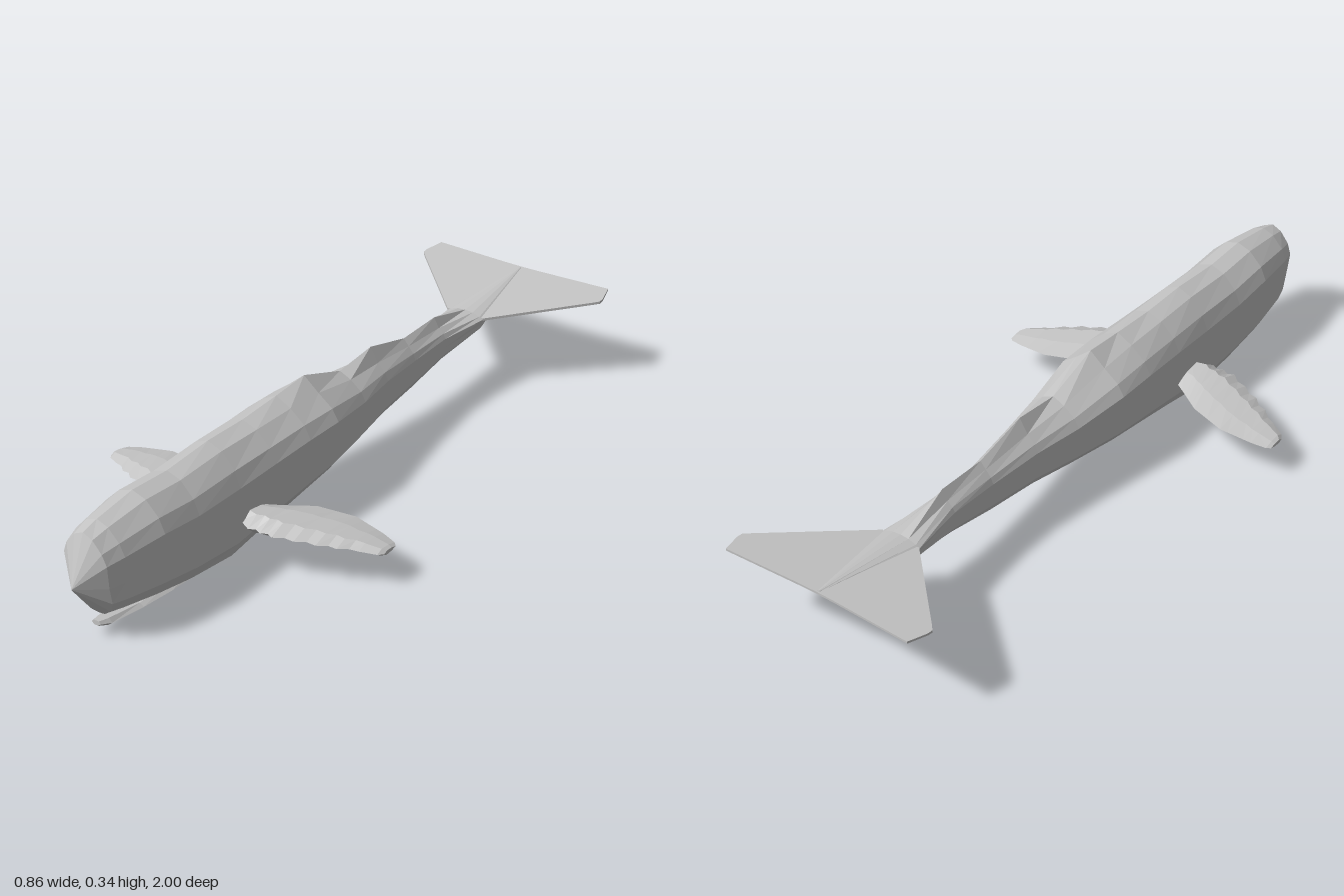
import * as THREE from 'three';

const skin = new THREE.MeshStandardMaterial({ color: 0xc4c4c4, flatShading: true });
skin.name = 'grey skin';

// Skins a list of closed rings; each end is closed by a fan to a given or averaged point
function loft(rings, { flip = false, startPoint, endPoint } = {}) {
  const pos = [];
  const tri = (a, b, c) => pos.push(...a, ...(flip ? c : b), ...(flip ? b : c));
  const middle = (r) => [0, 1, 2].map((k) => r.reduce((s, p) => s + p[k], 0) / r.length);
  const n = rings[0].length;
  const first = rings[0], last = rings[rings.length - 1];
  const c0 = startPoint || middle(first), c1 = endPoint || middle(last);
  for (let j = 0; j < n; j++) {
    const k = (j + 1) % n;
    tri(c0, first[k], first[j]);
    for (let i = 0; i < rings.length - 1; i++) {
      const p = rings[i], q = rings[i + 1];
      tri(p[j], p[k], q[j]);
      tri(p[k], q[k], q[j]);
    }
    tri(c1, last[j], last[k]);
  }
  const g = new THREE.BufferGeometry();
  g.setAttribute('position', new THREE.Float32BufferAttribute(pos, 3));
  g.computeVertexNormals();
  return g;
}

function part(name, geometry) {
  const m = new THREE.Mesh(geometry, skin);
  m.name = name;
  return m;
}

// Half outline of the body as fractions of half width and height
const HALF = [[0, 1], [0.42, 0.96], [0.82, 0.83], [1, 0.7], [0.94, 0.42], [0.91, 0.22], [0.68, 0.09], [0.3, 0.01], [0, 0]];

// Ring across the body; ridge lifts only the top centre point, shear pulls the underside back
function bodyRing([z, w, top, bottom, ridge = 0, shear = 0]) {
  const half = HALF.map(([fx, fy], i) => [
    fx * w, bottom + fy * (top - bottom) + (i === 0 ? ridge : 0), z - shear * (1 - fy) ** 2]);
  const mirrored = half.slice(1, -1).reverse().map(([x, y, zz]) => [-x, y, zz]);
  return [...half, ...mirrored];
}

function body() {
  // z, half width, top, bottom, ridge, shear
  const sections = [
    [0.95, 0.065, 0.303, 0.068, 0.003, 0.04],
    [0.90, 0.079, 0.316, 0.062, 0.002, 0.03],
    [0.77, 0.096, 0.333, 0.045, 0.002],
    [0.64, 0.097, 0.326, 0.022, 0.002],
    [0.48, 0.098, 0.334, 0.005, 0.004],
    [0.34, 0.102, 0.331, 0.032, 0.004],
    [0.20, 0.107, 0.33, 0.056, 0.012],
    [0.08, 0.108, 0.322, 0.074, 0.028],
    [-0.08, 0.082, 0.288, 0.09, 0.008],
    [-0.22, 0.058, 0.275, 0.106, 0.034],
    [-0.38, 0.039, 0.256, 0.116, 0.014],
    [-0.53, 0.038, 0.25, 0.145, 0.024],
    [-0.69, 0.058, 0.235, 0.182],
    [-0.985, 0.004, 0.257, 0.248],
  ];
  return loft(sections.map(bodyRing), { startPoint: [0, 0.175, 1.0] });
}

// Slim lower jaw, open at the front and merging into the throat
function jaw() {
  const sections = [
    [0.92, 0.014, 0.05, 0.037], [0.89, 0.024, 0.047, 0.026], [0.78, 0.03, 0.034, 0.018],
    [0.68, 0.04, 0.04, 0.013], [0.58, 0.045, 0.05, 0.008], [0.46, 0.035, 0.05, 0.008],
  ];
  return loft(sections.map(([z, w, t, b]) => [
    [-w * 0.6, t, z], [w * 0.6, t, z], [w, (t + b) / 2, z],
    [w * 0.45, b, z], [-w * 0.45, b, z], [-w, (t + b) / 2, z]]));
}

// Flipper with a scalloped leading edge
function flipper(side) {
  // x, leading z, trailing z, centre y, half thickness
  const key = [
    [0.08, 0.46, 0.36, 0.128, 0.026], [0.12, 0.478, 0.335, 0.128, 0.026],
    [0.19, 0.476, 0.288, 0.127, 0.02], [0.29, 0.432, 0.262, 0.118, 0.015],
    [0.38, 0.382, 0.274, 0.106, 0.012], [0.42, 0.36, 0.285, 0.1, 0.009], [0.43, 0.345, 0.295, 0.098, 0.006],
  ];
  const sections = [];
  for (let i = 0; i < key.length - 1; i++) {
    const steps = i > 0 && i < 4 ? 4 : 1;
    for (let s = 0; s < steps; s++) {
      const r = key[i].map((v, k) => THREE.MathUtils.lerp(v, key[i + 1][k], s / steps));
      if (s % 2) r[1] -= 0.004;
      else if (steps > 1) r[1] += 0.005;
      sections.push(r);
    }
  }
  sections.push(key[key.length - 1]);
  const rings = sections.map(([x, lead, trail, y, t]) => {
    const at = (f, dy) => [side * x, y + dy * t, THREE.MathUtils.lerp(trail, lead, f)];
    return [at(0.35, 0.75), at(0.75, 1), at(1, 0.1), at(0.8, -0.9), at(0.35, -0.75), at(0, 0)];
  });
  return loft(rings, { flip: side < 0 });
}

// Flat tail fluke that rises gently towards the back
function fluke(side) {
  const y = (z) => 0.22 + (-0.69 - z) * 0.11;
  const sections = [[0, -0.72, -0.99], [0.057, -0.69, -0.991], [0.28, -0.912, -1.0], [0.295, -0.928, -0.945]];
  const rings = sections.map(([x, lead, trail]) => {
    const at = (z, dy) => [side * x, y(z) + dy, z];
    return [at(trail, 0.003), at(lead, 0.003), at(lead, -0.004), at(trail, -0.003)];
  });
  return loft(rings, { flip: side < 0 });
}

export function createModel() {
  const whale = new THREE.Group();
  whale.name = 'whale';
  whale.add(part('body', body()), part('lowerJaw', jaw()));
  for (const [label, side] of [['left', 1], ['right', -1]]) {
    whale.add(part(`${label}Flipper`, flipper(side)), part(`${label}Fluke`, fluke(side)));
  }
  return whale;
}
